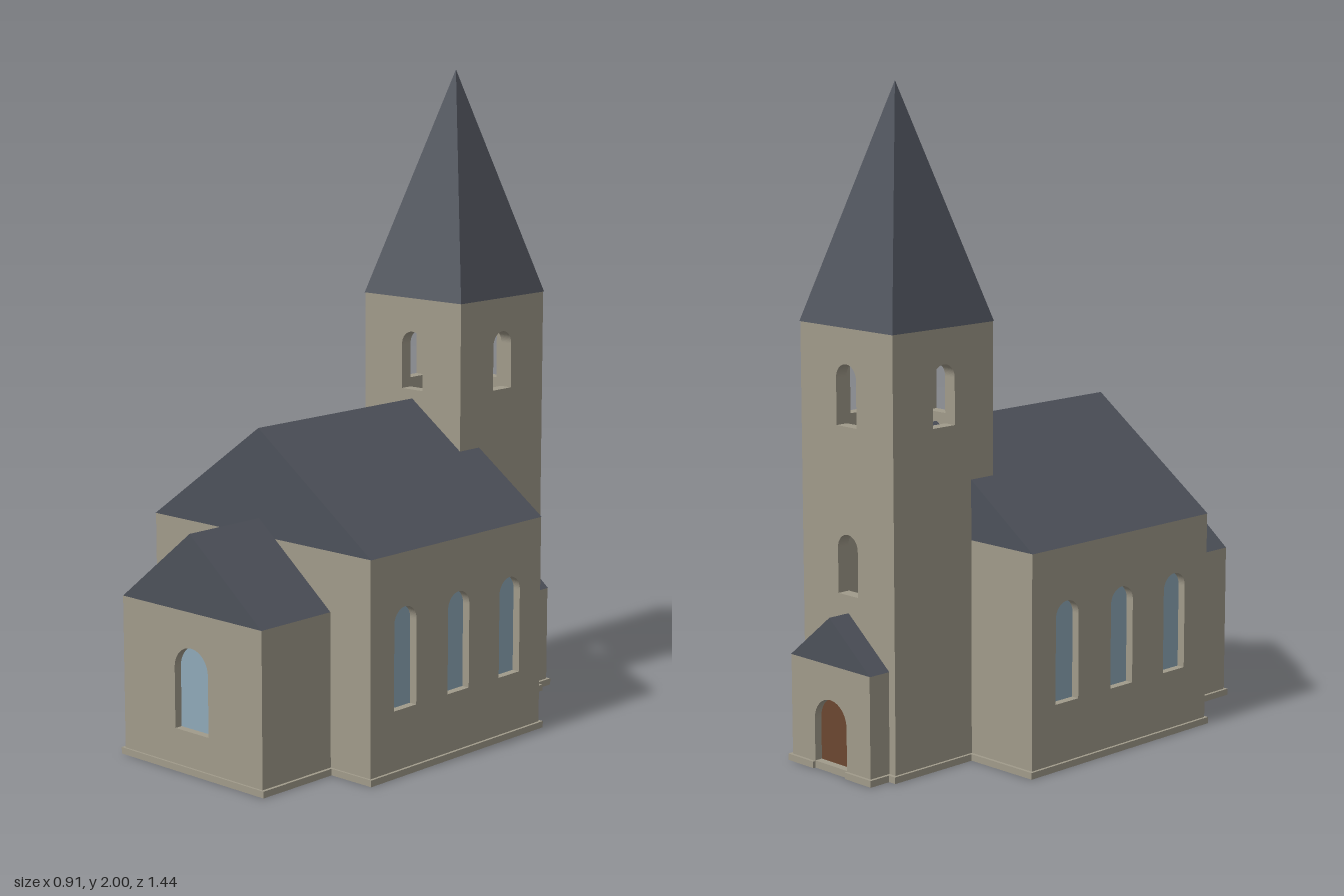
import * as THREE from 'three';

const stone = new THREE.MeshStandardMaterial({ color: 0xa09a8a });
const slate = new THREE.MeshStandardMaterial({ color: 0x4d515a, flatShading: true });
const glass = new THREE.MeshStandardMaterial({ color: 0x8fa9b8 });
const wood = new THREE.MeshStandardMaterial({ color: 0x6b4730 });

const BASE = 0.02; // plinth height
const T = 0.04; // wall thickness
const RECESS = 0.025; // depth of panes and door behind the wall face

// Round-headed opening centred on x = u, from y0 up to y1
function arch(Type, { u = 0, w, y0, y1 }) {
  const r = w / 2, p = new Type();
  p.moveTo(u - r, y0);
  p.lineTo(u + r, y0);
  p.lineTo(u + r, y1 - r);
  p.absarc(u, y1 - r, r, 0, Math.PI, false);
  p.lineTo(u - r, y0);
  return p;
}

function extrude(name, shape, depth, material) {
  const geo = new THREE.ExtrudeGeometry(shape, { depth, bevelEnabled: false, curveSegments: 16 });
  const mesh = new THREE.Mesh(geo, material);
  mesh.name = name;
  return mesh;
}

// Wall with arched openings; its outer face lies at local z = 0
function wall(name, { w, top, t = T, openings = [], fill, fillName }) {
  const g = new THREE.Group();
  g.name = name;
  const s = new THREE.Shape([[-w / 2, BASE], [w / 2, BASE], [w / 2, top], [-w / 2, top]]
    .map(([x, y]) => new THREE.Vector2(x, y)));
  openings.forEach(o => s.holes.push(arch(THREE.Path, o)));
  const panel = extrude(name + 'Panel', s, t, stone);
  panel.position.z = -t;
  g.add(panel);
  if (fill) openings.forEach(o => {
    const pane = extrude(fillName, arch(THREE.Shape, o), 0.008, fill);
    pane.position.z = -RECESS - 0.008;
    g.add(pane);
  });
  return g;
}

function place(obj, x, z, turn) {
  obj.position.set(x, 0, z);
  obj.rotation.y = turn;
  return obj;
}

// Solid gable roof with its ridge along z
function gableRoof(name, half, eaves, ridge, z0, z1) {
  const s = new THREE.Shape([[-half, eaves], [half, eaves], [0, ridge]].map(([x, y]) => new THREE.Vector2(x, y)));
  const roof = extrude(name, s, z1 - z0, slate);
  roof.position.z = z0;
  return roof;
}

export function createModel() {
  const church = new THREE.Group();
  church.name = 'church';

  // Plinth following the footprint, notched at the door
  const half = [[0.30, 0.72], [0.30, 0.44], [0.457, 0.44], [0.457, -0.341], [0.207, -0.341],
    [0.207, -0.648], [0.182, -0.648], [0.182, -0.72], [0.07, -0.72], [0.07, -0.711]];
  const outline = [...half, ...half.map(([x, z]) => [-x, z]).reverse()];
  const plinth = extrude('plinth', new THREE.Shape(outline.map(([x, z]) => new THREE.Vector2(x, -z))), BASE, stone);
  plinth.rotation.x = -Math.PI / 2;
  church.add(plinth);

  // Nave with three windows on each side
  const nave = new THREE.Group();
  nave.name = 'nave';
  const nz0 = -0.331, nz1 = 0.433, nx = 0.448;
  const mid = (nz0 + nz1) / 2;
  for (const side of [-1, 1]) {
    const openings = [0.285, 0.05, -0.185].map(z => ({ u: -side * (z - mid), w: 0.096, y0: 0.2, y1: 0.505 }));
    nave.add(place(wall(side > 0 ? 'naveLeftWall' : 'naveRightWall',
      { w: nz1 - nz0, top: 0.667, openings, fill: glass, fillName: 'naveWindow' }), side * nx, mid, side * Math.PI / 2));
  }
  nave.add(place(wall('naveFrontWall', { w: 2 * (nx - T), top: 0.667 }), 0, nz1, 0));
  nave.add(place(wall('naveBackWall', { w: 2 * (nx - T), top: 0.667 }), 0, nz0, Math.PI));
  nave.add(gableRoof('naveRoof', 0.45, 0.667, 0.99, nz0, nz1));
  church.add(nave);

  // Chancel with one front window
  const chancel = new THREE.Group();
  chancel.name = 'chancel';
  const cx = 0.29, cz = 0.713;
  chancel.add(place(wall('chancelFrontWall', {
    w: 2 * (cx - T), top: 0.487, openings: [{ w: 0.14, y0: 0.127, y1: 0.38 }], fill: glass, fillName: 'chancelWindow',
  }), 0, cz, 0));
  for (const side of [-1, 1]) {
    chancel.add(place(wall(side > 0 ? 'chancelLeftWall' : 'chancelRightWall', { w: cz - nz1, top: 0.487 }),
      side * cx, (cz + nz1) / 2, side * Math.PI / 2));
  }
  chancel.add(gableRoof('chancelRoof', cx, 0.487, 0.72, nz1, cz));
  church.add(chancel);

  // Hollow tower with open belfry windows on all sides and a lower one at the back
  const tower = new THREE.Group();
  tower.name = 'tower';
  const th = 0.198, tz = -0.439, top = 1.305;
  const belfry = { w: 0.086, y0: 1.018, y1: 1.2 };
  const lower = { w: 0.086, y0: 0.52, y1: 0.7 };
  ['Front', 'Left', 'Back', 'Right'].forEach((label, i) => {
    const a = i * Math.PI / 2;
    tower.add(place(wall('tower' + label + 'Wall', {
      w: i % 2 ? 2 * th : 2 * (th - T), top, openings: i === 2 ? [belfry, lower] : [belfry],
    }), Math.sin(a) * th, tz + Math.cos(a) * th, a));
  });
  const spire = new THREE.Mesh(new THREE.ConeGeometry(0.2 * Math.SQRT2, 2 - top, 4), slate);
  spire.name = 'spire';
  spire.rotation.y = Math.PI / 4;
  spire.position.set(0, (2 + top) / 2, tz);
  tower.add(spire);
  church.add(tower);

  // Porch with a recessed door
  const porch = new THREE.Group();
  porch.name = 'porch';
  const pz = -0.711, pd = tz - th - pz;
  porch.add(place(wall('porchWall', {
    w: 0.344, top: 0.325, t: pd, openings: [{ w: 0.14, y0: BASE + 0.002, y1: 0.22 }], fill: wood, fillName: 'door',
  }), 0, pz, Math.PI));
  porch.add(gableRoof('porchRoof', 0.174, 0.325, 0.467, pz, pz + pd));
  church.add(porch);

  return church;
}
